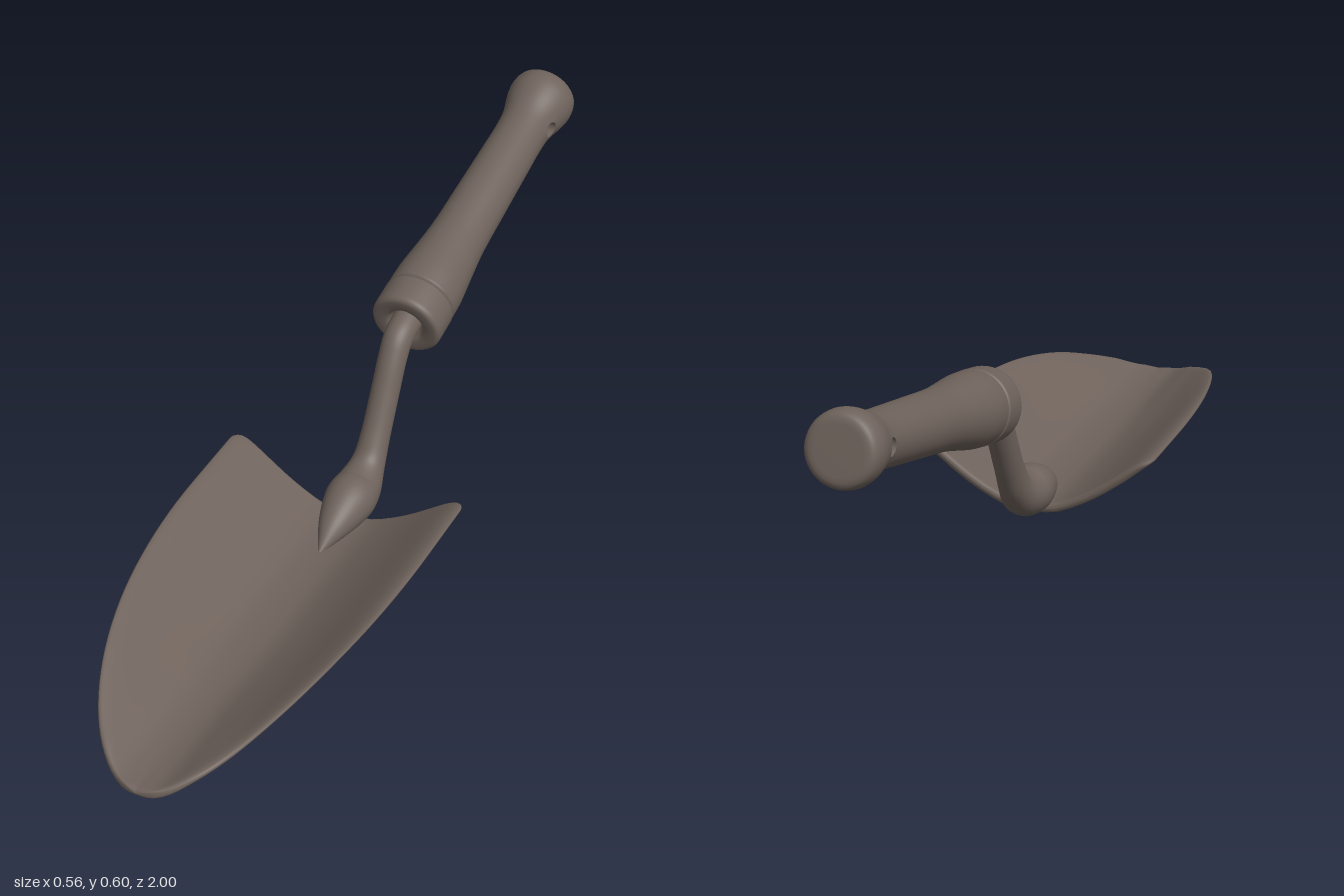
import * as THREE from 'three';

// Smooth interpolation through [x, y] points
function interp(pts) {
  const slope = (i) => {
    const a = pts[Math.max(i - 1, 0)], b = pts[Math.min(i + 1, pts.length - 1)];
    return (b[1] - a[1]) / (b[0] - a[0]);
  };
  return (x) => {
    let i = 0;
    while (i < pts.length - 2 && x > pts[i + 1][0]) i++;
    const [x0, y0] = pts[i], [x1, y1] = pts[i + 1], h = x1 - x0;
    const t = THREE.MathUtils.clamp((x - x0) / h, 0, 1), t2 = t * t, t3 = t2 * t;
    return (2 * t3 - 3 * t2 + 1) * y0 + (t3 - 2 * t2 + t) * h * slope(i)
      + (3 * t2 - 2 * t3) * y1 + (t3 - t2) * h * slope(i + 1);
  };
}

// Skin over closed rings of equal point count; skip(i, j) leaves a cell open
function loft(rings, skip = () => false) {
  const n = rings[0].length, index = [];
  for (let i = 0; i < rings.length - 1; i++) {
    for (let j = 0; j < n; j++) {
      if (skip(i, j)) continue;
      const k = (j + 1) % n, a = i * n + j, b = i * n + k;
      index.push(a, a + n, b, b, a + n, b + n);
    }
  }
  const g = new THREE.BufferGeometry();
  g.setAttribute('position', new THREE.Float32BufferAttribute(rings.flat(2), 3));
  g.setIndex(index);
  g.computeVertexNormals();
  return g;
}

// Dished blade: square back with rounded corners, elliptical tip
function bladeGeometry() {
  const dish = interp([[0, 0.011], [0.05, 0.014], [0.1, 0.035], [0.15, 0.064],
    [0.2, 0.1], [0.25, 0.138], [0.275, 0.152], [0.3, 0.16]]);
  const back = 0.053, corner = 0.03, halfWidth = 0.279, across = 28;
  const stations = [];
  for (let i = 0; i <= 8; i++) {
    const a = (i / 8) * Math.PI / 2;
    stations.push([back + corner * (1 - Math.cos(a)), halfWidth - corner * (1 - Math.sin(a))]);
  }
  for (const z of [0.12, 0.16, 0.2]) stations.push([z, halfWidth]);
  for (let i = 0; i <= 32; i++) {
    const a = (i / 32) * Math.PI / 2;
    stations.push([0.25 + 0.75 * Math.sin(a), halfWidth * Math.cos(a)]);
  }
  const rings = stations.map(([z, w]) => {
    const edge = Math.min((z - back) / 0.004, (1 - z) / 0.006, 1);
    const thick = 0.01 * Math.sqrt(Math.max(edge, 0));
    const lift = 0.01 * THREE.MathUtils.smoothstep(z, 0.45, 0.85);
    const point = (u, side) => {
      const x = u * w, s = Math.abs(x);
      const slope = Math.sign(x) * (dish(s + 0.002) - dish(Math.max(s - 0.002, 0))) / 0.004;
      const t = side * thick * Math.sqrt(Math.max(1 - u ** 12, 0)) / Math.hypot(1, slope);
      return [x - slope * t, dish(s) + lift * Math.min(s / 0.1, 1) + t, z];
    };
    const ring = [];
    for (let j = 0; j <= across; j++) ring.push(point(Math.sin((j / across - 0.5) * Math.PI), 1));
    for (let j = across - 1; j > 0; j--) ring.push(point(Math.sin((j / across - 0.5) * Math.PI), -1));
    return ring;
  });
  return loft(rings);
}

// Cranked shank that flares onto the blade: [z, y, radius]
function shankGeometry() {
  const knots = [[0.2, 0.018, 0.004], [0.13, 0.042, 0.036], [0.06, 0.057, 0.055], [0.01, 0.064, 0.052],
    [-0.04, 0.096, 0.038], [-0.075, 0.147, 0.033], [-0.12, 0.23, 0.032], [-0.16, 0.305, 0.032],
    [-0.19, 0.342, 0.033], [-0.25, 0.362, 0.033]];
  const path = new THREE.CatmullRomCurve3(knots.map(([z, y]) => new THREE.Vector3(0, y, z)));
  const radius = interp(knots.map((k, i) => [i / (knots.length - 1), k[2]]));
  const rings = [];
  for (let i = 0; i <= 54; i++) {
    const t = i / 54, p = path.getPoint(t), d = path.getTangent(t), r = radius(t), ring = [];
    for (let j = 0; j < 32; j++) {
      const a = (j / 32) * Math.PI * 2, c = r * Math.cos(a), s = r * Math.sin(a);
      ring.push([c, p.y - d.z * s, p.z + d.y * s]);
    }
    rings.push(ring);
  }
  return loft(rings);
}

const gripRadius = interp([[0.085, 0.081], [0.13, 0.08], [0.2, 0.073], [0.28, 0.066], [0.4, 0.063],
  [0.55, 0.06], [0.62, 0.059], [0.67, 0.062], [0.72, 0.074], [0.745, 0.078], [0.757, 0.0775]]);
const HOLE = { s: 0.669, r: 0.019 };

// Grip: grid on a turned profile, with vertices drawn to a circle at each side for the hanging hole
function gripGeometry() {
  const n = 48, step = 0.008, holeRow = 73, rings = [];
  const around = (j) => ((j + 12) % 24) - 12;
  for (let i = 0; i <= 84; i++) {
    const ring = [];
    for (let j = 0; j < n; j++) {
      let s = 0.085 + i * step, a = (j / n) * Math.PI * 2;
      const di = i - holeRow, dj = around(j), d = Math.max(Math.abs(di), Math.abs(dj));
      if (d === 2 || d === 3) {
        const len = Math.hypot(di, dj), blend = d === 2 ? 1 : 0.5;
        const sHole = HOLE.s + HOLE.r * di / len;
        const aHole = Math.asin(HOLE.r * dj / len / gripRadius(sHole));
        s += (sHole - s) * blend;
        a += (aHole - dj * Math.PI * 2 / n) * blend;
      }
      const r = gripRadius(s);
      ring.push([r * Math.cos(a), s, r * Math.sin(a)]);
    }
    rings.push(ring);
  }
  const inHole = (i, j) => {
    const di = i - holeRow, dj = around(j);
    return di >= -2 && di < 2 && dj >= -2 && dj < 2;
  };
  return loft(rings, inHole);
}

// Wall of the hanging hole, trimmed to the grip surface
function boreGeometry() {
  const g = new THREE.CylinderGeometry(HOLE.r, HOLE.r, 1, 32, 1, true);
  g.rotateZ(Math.PI / 2);
  const p = g.attributes.position;
  for (let i = 0; i < p.count; i++) {
    const s = HOLE.s + p.getY(i), z = p.getZ(i);
    p.setXYZ(i, Math.sign(p.getX(i)) * Math.sqrt(gripRadius(s) ** 2 - z * z), s, z);
  }
  return g;
}

const lathe = (pts) => new THREE.LatheGeometry(pts.map(([r, y]) => new THREE.Vector2(r, y)), 48);

export function createModel() {
  const model = new THREE.Group();
  model.name = 'gardenTrowel';
  const brown = new THREE.MeshStandardMaterial({ color: 0x6f635c, side: THREE.DoubleSide });
  brown.name = 'greyBrown';
  const add = (parent, name, geometry) => {
    const mesh = new THREE.Mesh(geometry, brown);
    mesh.name = name;
    parent.add(mesh);
  };

  add(model, 'blade', bladeGeometry());
  add(model, 'shank', shankGeometry());

  // Handle parts run along local y, tilted up towards the back
  const handle = new THREE.Group();
  handle.name = 'handle';
  handle.position.set(0, 0.35, -0.22);
  handle.rotation.x = -THREE.MathUtils.degToRad(90 - 13.1);
  model.add(handle);
  add(handle, 'ferrule', lathe([[0.03, 0.03], [0.036, 0.02], [0.042, 0.006], [0.05, 0], [0.07, 0],
    [0.077, 0.002], [0.081, 0.008], [0.082, 0.016], [0.082, 0.072], [0.08, 0.077], [0.074, 0.079]]));
  add(handle, 'gripShoulder', lathe([[0.074, 0.078], [0.079, 0.08], [0.081, 0.085]]));
  add(handle, 'grip', gripGeometry());
  add(handle, 'hangingHole', boreGeometry());
  add(handle, 'gripEnd', lathe([[0.0775, 0.757], [0.076, 0.768], [0.073, 0.777], [0.068, 0.783],
    [0.06, 0.786], [0.05, 0.787], [0, 0.787]]));
  return model;
}
